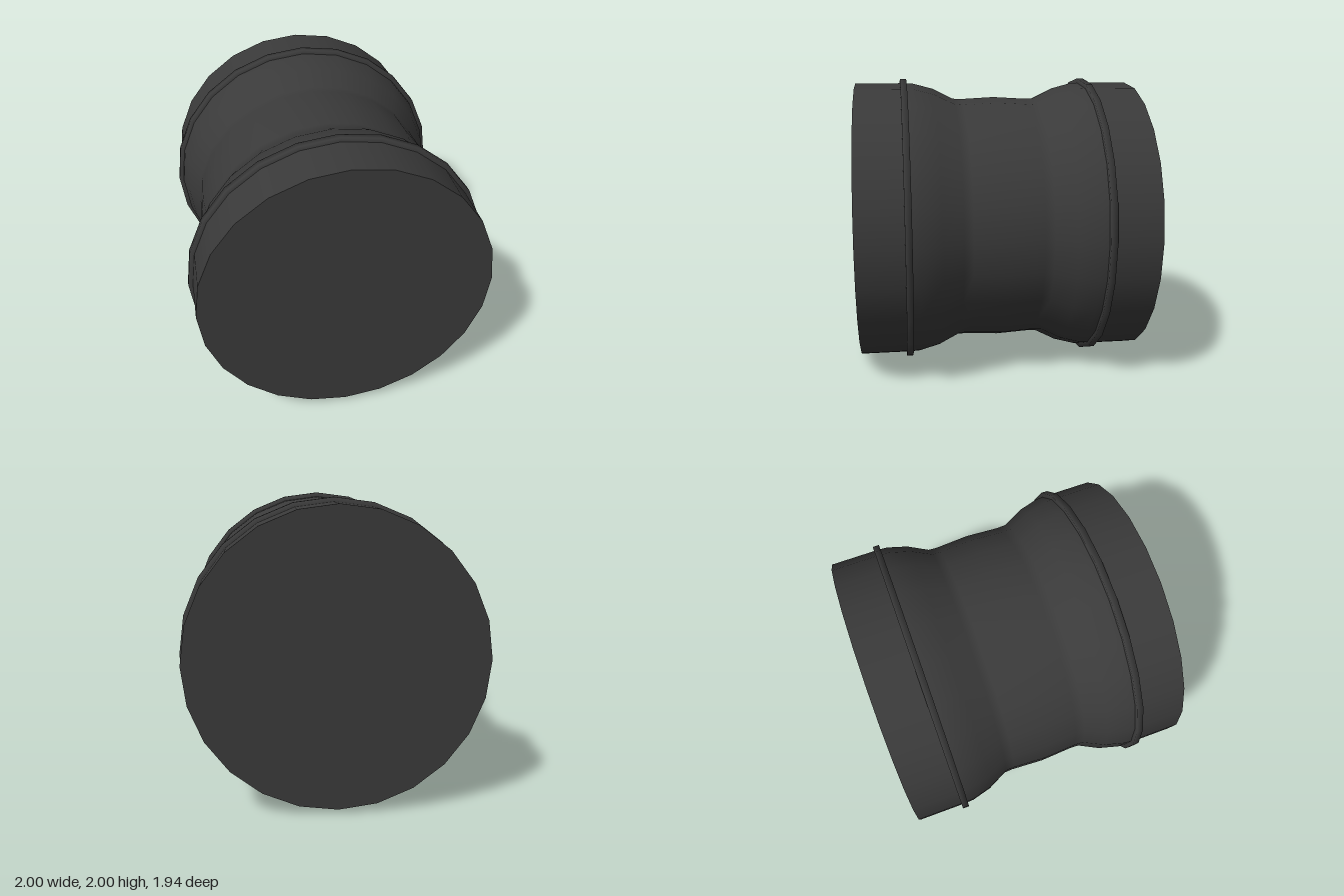
import * as THREE from 'three';

const SIDES = 24;

export function createModel() {
  const group = new THREE.Group();
  const dark = new THREE.MeshStandardMaterial({ color: 0x3a3a3a });

  // Revolve a profile of [z, radius] pairs around the z axis
  const revolve = (name, profile) => {
    const points = profile.map(([z, r]) => new THREE.Vector2(r, z));
    const mesh = new THREE.Mesh(new THREE.LatheGeometry(points, SIDES).rotateX(Math.PI / 2), dark);
    mesh.name = name;
    mesh.position.y = 1;
    group.add(mesh);
  };

  // Waisted middle, bulging slightly at its centre
  const half = [[0.23, 0.857], [0.29, 0.86], [0.43, 0.93], [0.57, 0.967], [0.64, 0.97]];
  const mirrored = half.map(([z, r]) => [-z, r]).reverse();
  revolve('waist', [...mirrored, [0, 0.87], ...half]);

  for (const [side, s] of [['front', 1], ['back', -1]]) {
    // Straight collar at each end
    const collar = [[0.64 * s, 0.97], [0.97 * s, 0.97]];
    revolve(side + 'Collar', s > 0 ? collar : collar.reverse());

    // Thin raised band
    const a = 0.638 * s - 0.022, b = 0.638 * s + 0.022;
    revolve(side + 'Band', [[a, 0.96], [a, 1], [b, 1], [b, 0.96]]);

    // Flat end disc
    const cap = new THREE.Mesh(new THREE.CircleGeometry(0.97, SIDES), dark);
    cap.name = side + 'Cap';
    cap.position.set(0, 1, 0.97 * s);
    if (s < 0) cap.rotation.y = Math.PI;
    group.add(cap);
  }
  return group;
}
